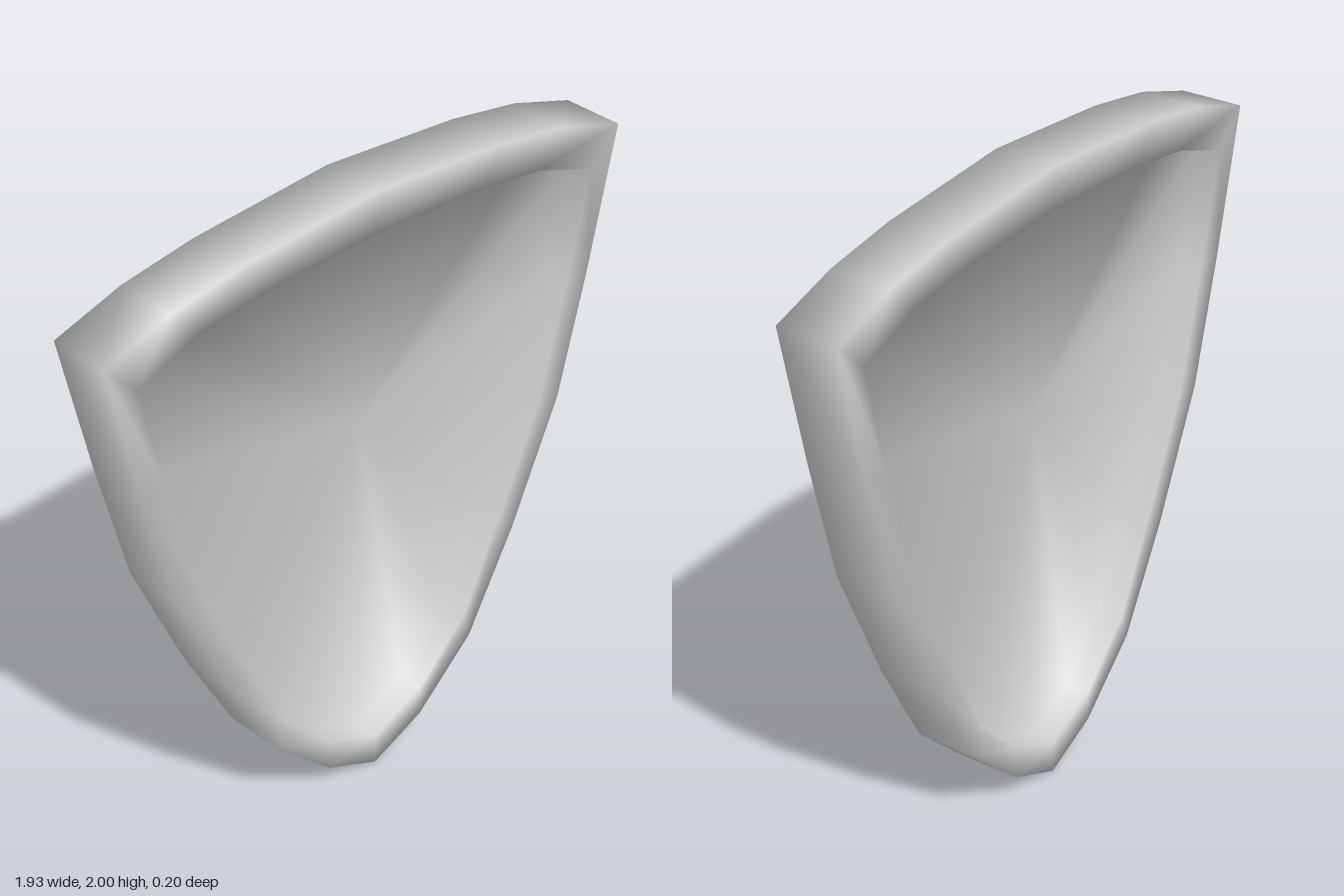
import * as THREE from 'three';

// Half outlines from top centre clockwise to the bottom tip
const OUTER = [[0, 2], [0.485, 1.963], [0.735, 1.922], [0.963, 1.85], [0.86, 1.4], [0.755, 1.0],
  [0.575, 0.6], [0.4, 0.28], [0.19, 0.085], [0, 0]];
const INNER = [[0, 1.868], [0.41, 1.85], [0.635, 1.82], [0.857, 1.742], [0.77, 1.39], [0.672, 1.01],
  [0.515, 0.66], [0.37, 0.362], [0.19, 0.187], [0, 0.1]];
const RIM_Z = 0.1, PANEL_Z = 0.02;

const mirrorLoop = (half) => [...half, ...half.slice(1, -1).reverse().map(([x, y]) => [-x, y])];

// Ring of points at depth z; side = 1 leans its normals outward, -1 inward, 0 straight
function ring(loop, z, side, tilt = 1) {
  const n = loop.length;
  return loop.map(([x, y], i) => {
    const [px, py] = loop[(i + n - 1) % n], [qx, qy] = loop[(i + 1) % n];
    const out = new THREE.Vector2(py - qy, qx - px).normalize().multiplyScalar(side);
    return {
      p: [x, y, z],
      n: new THREE.Vector3(out.x, out.y, Math.sign(z) * tilt).normalize().toArray(),
    };
  });
}

// Smooth skin across consecutive rings
function skin(rings, material, name) {
  const n = rings[0].length, points = rings.flat(), index = [];
  for (let r = 0; r < rings.length - 1; r++) {
    for (let i = 0; i < n; i++) {
      const j = (i + 1) % n, a = r * n, b = a + n;
      index.push(a + i, b + i, a + j, b + i, b + j, a + j);
    }
  }
  const geometry = new THREE.BufferGeometry();
  geometry.setAttribute('position', new THREE.Float32BufferAttribute(points.flatMap((v) => v.p), 3));
  geometry.setAttribute('normal', new THREE.Float32BufferAttribute(points.flatMap((v) => v.n), 3));
  geometry.setIndex(index);
  const mesh = new THREE.Mesh(geometry, material);
  mesh.name = name;
  return mesh;
}

export function createModel() {
  const grey = new THREE.MeshStandardMaterial({ color: 0xc8c8c8 });
  grey.name = 'light grey';
  const outer = mirrorLoop(OUTER), inner = mirrorLoop(INNER);
  const centre = inner.map(() => [0, 1.22]);

  const edge = (s) => ring(inner, s * PANEL_Z, -1, 0.8);
  const lip = (s) => ring(inner, s * RIM_Z, -1);
  const outside = (s) => ring(outer, s * RIM_Z, 1);
  const hub = (s) => centre.map(([x, y]) => ({ p: [x, y, s * PANEL_Z], n: [0, 0, s] }));

  const shield = new THREE.Group();
  shield.name = 'shield';
  shield.add(
    // Raised border with its inner walls
    skin([edge(-1), lip(-1), outside(-1), outside(1), lip(1), edge(1)], grey, 'rim'),
    // Recessed faces
    skin([edge(1), hub(1)], grey, 'frontPanel'),
    skin([hub(-1), edge(-1)], grey, 'backPanel'),
  );
  return shield;
}
